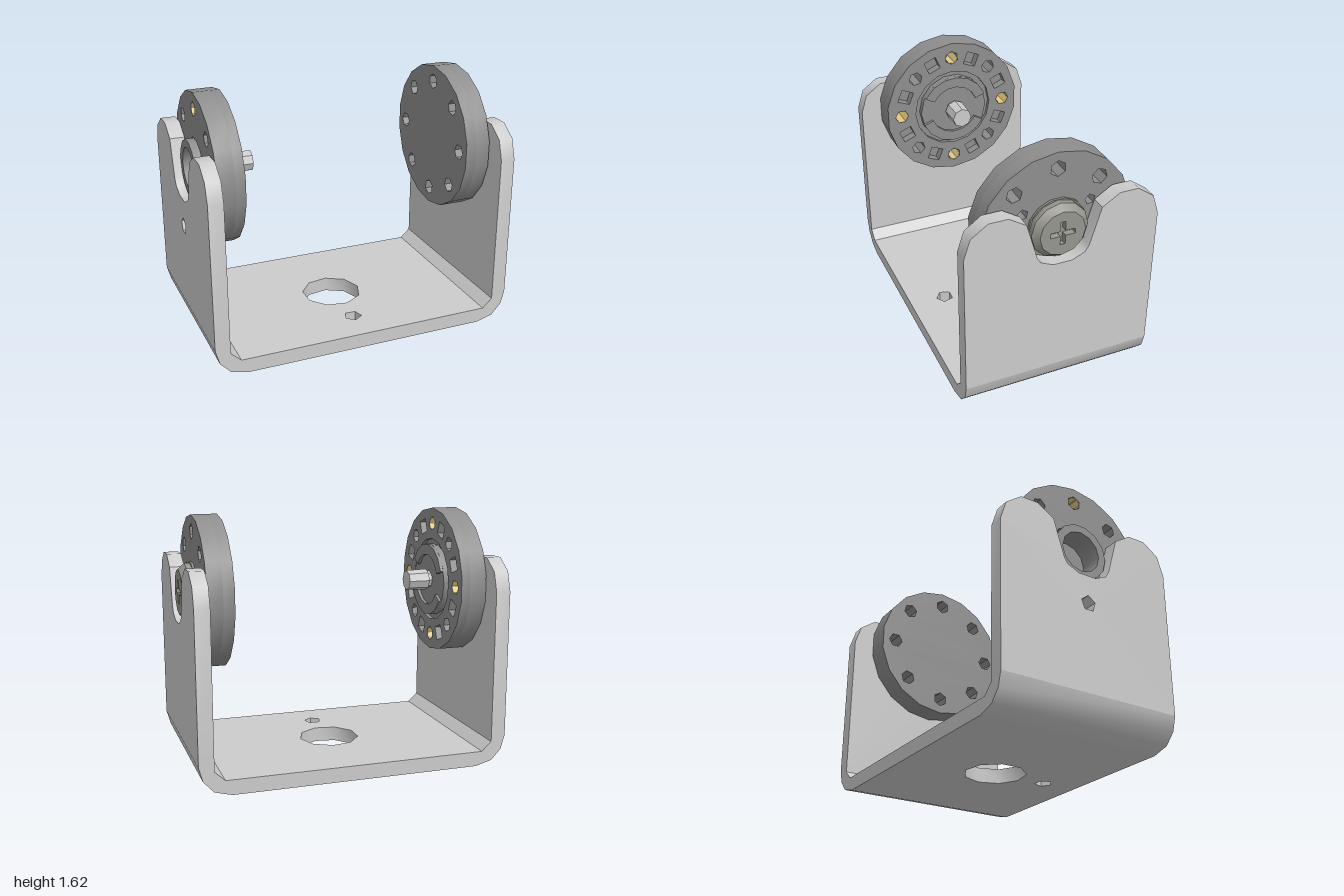
import * as THREE from 'three';
import { toCreasedNormals } from 'three/addons/utils/BufferGeometryUtils.js';

const AXIS_Y = 1.135; // height of the pivot axis
const metal = new THREE.MeshStandardMaterial({ color: 0xcccccc });
const dark = new THREE.MeshStandardMaterial({ color: 0x8e8e8e });
const screwGrey = new THREE.MeshStandardMaterial({ color: 0x96968e });
const brass = new THREE.MeshStandardMaterial({ color: 0xe6c878, side: THREE.DoubleSide });

// Regular polygon as a list of points
function polygon(n, r, cx = 0, cy = 0, rot = 0) {
  return Array.from({ length: n }, (_, i) => {
    const a = rot + (i / n) * Math.PI * 2;
    return new THREE.Vector2(cx + r * Math.cos(a), cy + r * Math.sin(a));
  });
}

function plate(points, holes, depth) {
  const shape = new THREE.Shape(points);
  shape.holes = holes.map((h) => new THREE.Path(h));
  return new THREE.ExtrudeGeometry(shape, { depth, bevelEnabled: false });
}

function part(name, geometry, material) {
  const mesh = new THREE.Mesh(toCreasedNormals(geometry, 0.7), material);
  mesh.name = name;
  return mesh;
}

// Plate lying in the z-y plane, extruded from x0 to x1
function xPlate(name, points, holes, x0, x1, material, y = AXIS_Y) {
  const g = plate(points, holes, x1 - x0).rotateY(Math.PI / 2).translate(x0, y, 0);
  return part(name, g, material);
}

// Ring of n holes around the pivot axis, first one straight up
function holeRing(n, sides, r, ringRadius, offset = 0, rot = 0) {
  return Array.from({ length: n }, (_, i) => {
    const a = Math.PI / 2 + offset + (i / n) * Math.PI * 2;
    return polygon(sides, r, ringRadius * Math.cos(a), ringRadius * Math.sin(a), a + rot);
  });
}

function xCylinder(name, rLow, rHigh, x0, x1, sides, material) {
  const g = new THREE.CylinderGeometry(rLow, rHigh, x1 - x0, sides)
    .rotateZ(Math.PI / 2).translate((x0 + x1) / 2, AXIS_Y, 0);
  return part(name, g, material);
}

function createBracket() {
  const bracket = new THREE.Group();
  bracket.name = 'bracket';

  // Base plate with its large and small holes
  const base = [[-0.8, -0.61], [0.8, -0.61], [0.8, 0.61], [-0.8, 0.61]]
    .map((p) => new THREE.Vector2(...p));
  const baseHoles = [polygon(9, 0.197), polygon(5, 0.057, 0, -0.37, Math.PI / 2 + 0.6)];
  bracket.add(part('basePlate', plate(base, baseHoles, 0.095).rotateX(-Math.PI / 2), metal));

  // Half outline of an arm: outer edge, rounded shoulder, notch
  const half = [[0.61, 0.19], [0.61, 1.13], [0.57, 1.255], [0.465, 1.33], [0.345, 1.33],
    [0.235, 1.26], [0.165, 1.02], [0.14, 0.98], [0.06, 0.945]];
  const outline = [...half, ...half.map(([u, v]) => [-u, v]).reverse()]
    .map((p) => new THREE.Vector2(...p));
  const bend = [[0.8, 0], [0.91, 0.03], [0.975, 0.1], [1, 0.19],
    [0.905, 0.19], [0.905, 0.155], [0.84, 0.095], [0.8, 0.095]];

  for (const side of [-1, 1]) {
    const label = side > 0 ? 'left' : 'right';
    const holes = side < 0 ? [polygon(5, 0.052, 0, 0.76, 0.3)] : [];
    const x0 = side > 0 ? 0.905 : -1;
    bracket.add(xPlate(label + 'Arm', outline, holes, x0, x0 + 0.095, metal, 0));
    const profile = bend.map(([x, y]) => new THREE.Vector2(side * x, y));
    bracket.add(part(label + 'Bend', plate(profile, [], 1.22).translate(0, 0, -0.61), metal));
  }
  return bracket;
}

// Driven disc on the -x side: pockets, inserts, hub and output shaft
function createDriveDisc() {
  const disc = new THREE.Group();
  disc.name = 'driveDisc';
  const rim = polygon(18, 0.48, 0, 0, Math.PI / 2);
  const bolts = holeRing(8, 6, 0.047, 0.375);
  const pockets = holeRing(8, 4, 0.062, 0.37, Math.PI / 8, Math.PI / 4);
  disc.add(xPlate('driveDiscBack', rim, [...bolts, polygon(14, 0.19)], -0.9, -0.79, dark));
  disc.add(xPlate('driveDiscFace', rim, [...bolts, ...pockets, polygon(16, 0.275)], -0.79, -0.73, dark));

  // Brass inserts in every other bolt hole
  for (let i = 0; i < 4; i++) {
    const a = (i / 4) * Math.PI * 2;
    const g = new THREE.CylinderGeometry(0.044, 0.044, 0.166, 6, 1, true)
      .rotateZ(Math.PI / 2)
      .translate(-0.815, AXIS_Y + 0.375 * Math.cos(a), 0.375 * Math.sin(a));
    disc.add(part('threadedInsert', g, brass));
  }

  // Hub core with two raised arcs around the shaft
  disc.add(xCylinder('hubFloor', 0.28, 0.28, -0.8, -0.755, 16, dark));
  disc.add(xCylinder('hubCore', 0.24, 0.24, -0.76, -0.715, 14, dark));
  for (const start of [0.35, 0.35 + Math.PI]) {
    const arc = [];
    for (let i = 0; i <= 6; i++) arc.push([0.24, start + i * 0.38]);
    for (let i = 6; i >= 0; i--) arc.push([0.17, start + i * 0.38]);
    const points = arc.map(([r, a]) => new THREE.Vector2(r * Math.cos(a), r * Math.sin(a)));
    disc.add(xPlate('hubArc', points, [], -0.716, -0.695, dark));
  }
  disc.add(xCylinder('shaftNeck', 0.056, 0.056, -0.72, -0.69, 8, metal));
  disc.add(xCylinder('shaft', 0.07, 0.066, -0.69, -0.55, 8, metal));

  // Hollow boss reaching out through the arm notch
  disc.add(xPlate('hollowBoss', polygon(14, 0.185), [polygon(12, 0.135)], -0.95, -0.8, dark));
  return disc;
}

// Free-running disc on the +x side, held by a cross-head screw
function createIdlerDisc() {
  const disc = new THREE.Group();
  disc.name = 'idlerDisc';
  const rim = polygon(18, 0.48, 0, 0, Math.PI / 2);
  const bolts = holeRing(8, 6, 0.05, 0.375);
  const pins = [[1, 1], [-1, 1], [-1, -1], [1, -1]]
    .map(([u, v]) => polygon(5, 0.034, u * 0.212, v * 0.125, 0.4));
  disc.add(xPlate('idlerDiscInner', rim, bolts, 0.73, 0.8, dark));
  disc.add(xPlate('idlerDiscOuter', rim, [...bolts, ...pins], 0.8, 0.895, dark));

  // Screw: washer, body, bevelled head and cross recess
  disc.add(xCylinder('washer', 0.187, 0.187, 0.894, 0.91, 14, dark));
  disc.add(xCylinder('screwBody', 0.18, 0.18, 0.9, 0.945, 12, screwGrey));
  const w = 0.016, l = 0.078;
  const cross = [[w, w], [w, l], [-w, l], [-w, w], [-l, w], [-l, -w],
    [-w, -w], [-w, -l], [w, -l], [w, -w], [l, -w], [l, w]].map((p) => new THREE.Vector2(...p));
  const head = plate(polygon(12, 0.18), [cross], 0.04);
  const pos = head.attributes.position;
  for (let i = 0; i < pos.count; i++) {
    const r = Math.hypot(pos.getX(i), pos.getY(i));
    if (pos.getZ(i) > 0.02 && r > 0.15) {
      pos.setXY(i, pos.getX(i) * 0.8, pos.getY(i) * 0.8);
    }
  }
  head.rotateY(Math.PI / 2).translate(0.945, AXIS_Y, 0);
  disc.add(part('screwHead', head, screwGrey));
  return disc;
}

export function createModel() {
  const model = new THREE.Group();
  model.name = 'pivotBracket';
  model.add(createBracket(), createDriveDisc(), createIdlerDisc());
  return model;
}
